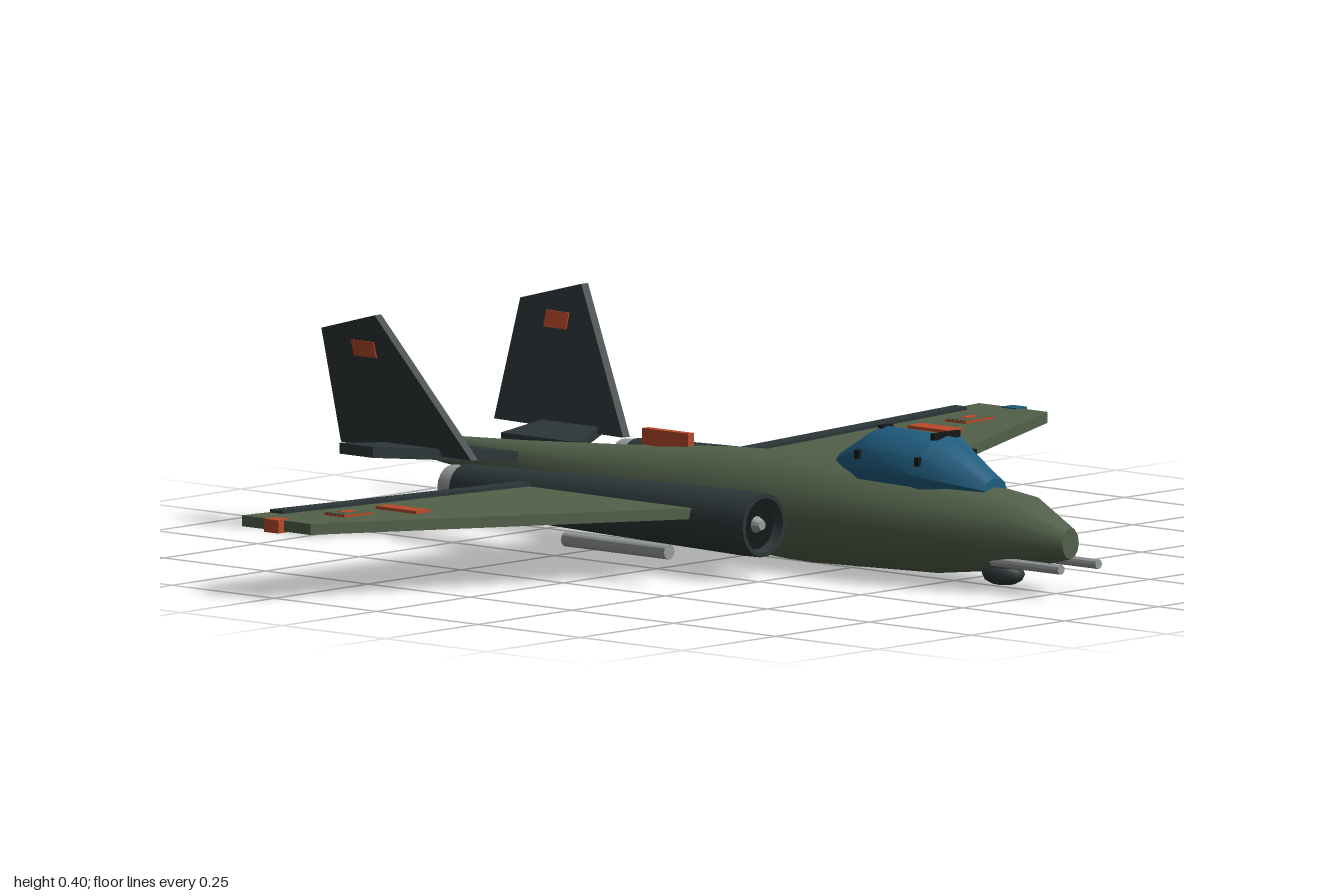
import * as THREE from 'three';
import { toCreasedNormals } from 'three/addons/utils/BufferGeometryUtils.js';
import { ConvexGeometry } from 'three/addons/geometries/ConvexGeometry.js';

const paint = (name, color) => {
  const m = new THREE.MeshStandardMaterial({ color });
  m.name = name;
  return m;
};

// Body through elliptical sections [z, halfWidth, yTop, yBottom], front to back.
function loft(sections, sides, crease) {
  const pos = [], idx = [];
  for (const [z, w, top, bottom] of sections) {
    for (let j = 0; j < sides; j++) {
      const a = (j / sides) * Math.PI * 2;
      pos.push(Math.cos(a) * w, (top + bottom) / 2 + Math.sin(a) * (top - bottom) / 2, z);
    }
  }
  for (let i = 0; i < sections.length - 1; i++) {
    for (let j = 0; j < sides; j++) {
      const k = (j + 1) % sides, a = i * sides, b = a + sides;
      idx.push(a + j, b + j, a + k, b + j, b + k, a + k);
    }
  }
  const g = new THREE.BufferGeometry();
  g.setAttribute('position', new THREE.Float32BufferAttribute(pos, 3));
  g.setIndex(idx);
  return toCreasedNormals(g, crease);
}

// Round body along z from [z, radius] pairs.
const round = (profile, sides = 18) => loft(profile.map(([z, r]) => [z, r, r, -r]), sides, 0.7);

// Flat panel: an outline thickened along one direction; s mirrors it in x.
function slab(outline, thick, s = 1) {
  const pts = [];
  for (const [x, y, z] of outline) {
    for (const e of [-0.5, 0.5]) {
      pts.push(new THREE.Vector3(s * (x + e * thick[0]), y + e * thick[1], z + e * thick[2]));
    }
  }
  return new ConvexGeometry(pts);
}

export function createModel() {
  const green = paint('olive green', 0x52614a);
  const slate = paint('dark slate', 0x2c3638);
  const blue = paint('canopy blue', 0x1f5c7e);
  const orange = paint('signal orange', 0xb84a2a);
  const grey = paint('metal grey', 0x979b9b);
  const black = paint('near black', 0x121718);

  const model = new THREE.Group();
  const add = (name, geometry, material, x = 0, y = 0, z = 0) => {
    const mesh = new THREE.Mesh(geometry, material);
    mesh.name = name;
    mesh.position.set(x, y, z);
    model.add(mesh);
    return mesh;
  };

  add('fuselage', loft([
    [0.785, 0, 0.1, 0.1], [0.785, 0.022, 0.127, 0.07], [0.67, 0.078, 0.177, 0.04],
    [0.46, 0.128, 0.198, 0.014], [0.15, 0.128, 0.206, 0.004], [-0.05, 0.112, 0.197, 0.014],
    [-0.3, 0.079, 0.176, 0.045], [-0.55, 0.047, 0.16, 0.076], [-0.76, 0.02, 0.15, 0.101],
    [-0.76, 0, 0.125, 0.125]], 12, 0.9), green);

  // Canopy with hoop frames just breaking the glass
  add('canopy', loft([
    [0.6, 0, 0.19, 0.18], [0.6, 0.03, 0.2, 0.16], [0.48, 0.08, 0.268, 0.13],
    [0.33, 0.08, 0.271, 0.13], [0.23, 0.025, 0.215, 0.16], [0.23, 0, 0.2, 0.18]], 12, 0.6), blue);
  for (const [z, half] of [[0.478, 0.035], [0.332, 0.015]]) {
    add('canopyFrameTop', new THREE.BoxGeometry(half * 2, 0.012, 0.01), black, 0, 0.267, z);
    for (const s of [1, -1]) {
      add('canopyFrameSide', new THREE.BoxGeometry(0.01, 0.016, 0.01), black, s * 0.074, 0.226, z);
    }
  }

  // Chin turret and spine beacon
  const turret = add('chinTurret', new THREE.SphereGeometry(1, 10, 6), slate, 0, 0.029, 0.62);
  turret.scale.set(0.035, 0.022, 0.045);
  add('spineBeacon', new THREE.BoxGeometry(0.016, 0.03, 0.112), orange, 0, 0.196, -0.202);

  const wingY = (x) => 0.112 + 0.0235 * x;
  const onWing = (x, z, lift = 0) => [x, wingY(x) + lift, z];
  const patch = (x0, x1, z0, z1, lift) =>
    [onWing(x0, z0, lift), onWing(x1, z0, lift), onWing(x1, z1, lift), onWing(x0, z1, lift)];

  // Fin plane: slides outward with height
  const onFin = (y, z, out = 0) => [0.203 + (y - 0.15) * 0.285 + out, y, z];

  for (const s of [1, -1]) {
    // Wing and its surface panels
    add('wing', slab([onWing(0.02, 0.222), onWing(0.985, -0.175), onWing(0.985, -0.343),
      onWing(0.02, -0.322)], [0, 0.02, 0], s), green);
    add('flap', slab([onWing(0.26, -0.292, 0.01), onWing(0.915, -0.308, 0.01),
      onWing(0.915, -0.338, 0.01), onWing(0.26, -0.324, 0.01)], [0, 0.012, 0], s), slate);
    add('wingStripe', slab(patch(0.692, 0.73, -0.25, -0.15, 0.011), [0, 0.009, 0], s), orange);
    add('wingPanelTrim', slab(patch(0.793, 0.867, -0.25, -0.2, 0.011), [0, 0.006, 0], s), orange);
    add('wingPanel', slab(patch(0.795, 0.865, -0.248, -0.202, 0.012), [0, 0.007, 0], s), green);
    add('wingPanelSpot', slab(patch(0.815, 0.848, -0.235, -0.217, 0.013), [0, 0.007, 0], s), orange);
    add('wingtipLight', new THREE.BoxGeometry(0.03, 0.024, 0.035), s > 0 ? blue : orange,
      s * 0.985, 0.135, -0.257);

    // Engine nacelle, open at the front
    const x = s * 0.23, y = 0.104;
    add('nacelle', round([[0.225, 0.045], [0.245, 0.05], [0.245, 0.058], [0.2, 0.059],
      [-0.1, 0.053], [-0.4, 0.046], [-0.49, 0.042], [-0.49, 0]]), slate, x, y);
    add('intakeFace', round([[0.226, 0], [0.226, 0.046], [0.22, 0.046]]), black, x, y);
    add('intakeHub', round([[0.243, 0], [0.24, 0.009], [0.225, 0.016]], 12), grey, x, y);
    add('exhaustNozzle', round([[-0.48, 0.041], [-0.522, 0.038], [-0.522, 0.03],
      [-0.5, 0.028]]), grey, x, y);
    add('exhaustFace', round([[-0.49, 0.029], [-0.505, 0.029], [-0.505, 0]]), black, x, y);

    // Tailplane and canted fin
    add('tailplane', slab([[0.08, 0.143, -0.497], [0.33, 0.165, -0.622], [0.33, 0.165, -0.705],
      [0.08, 0.143, -0.685]], [0, 0.02, 0], s), slate);
    add('fin', slab([onFin(0.15, -0.49), onFin(0.407, -0.66), onFin(0.37, -0.8),
      onFin(0.155, -0.808)], [0.018, 0, 0], s), slate);
    for (const side of [1, -1]) {
      const o = side * 0.009;
      add('finMark', slab([onFin(0.325, -0.675, o), onFin(0.355, -0.675, o),
        onFin(0.355, -0.73, o), onFin(0.325, -0.73, o)], [0.005, 0, 0], s), orange);
    }

    // Underwing tube and nose gun
    add('underwingTube', round([[0.168, 0], [0.168, 0.014], [-0.085, 0.014], [-0.085, 0]], 12),
      grey, s * 0.4, 0.066);
    add('noseGun', round([[0.808, 0], [0.808, 0.009], [0.64, 0.009], [0.64, 0]], 10),
      grey, s * 0.05, 0.058);
  }
  return model;
}
